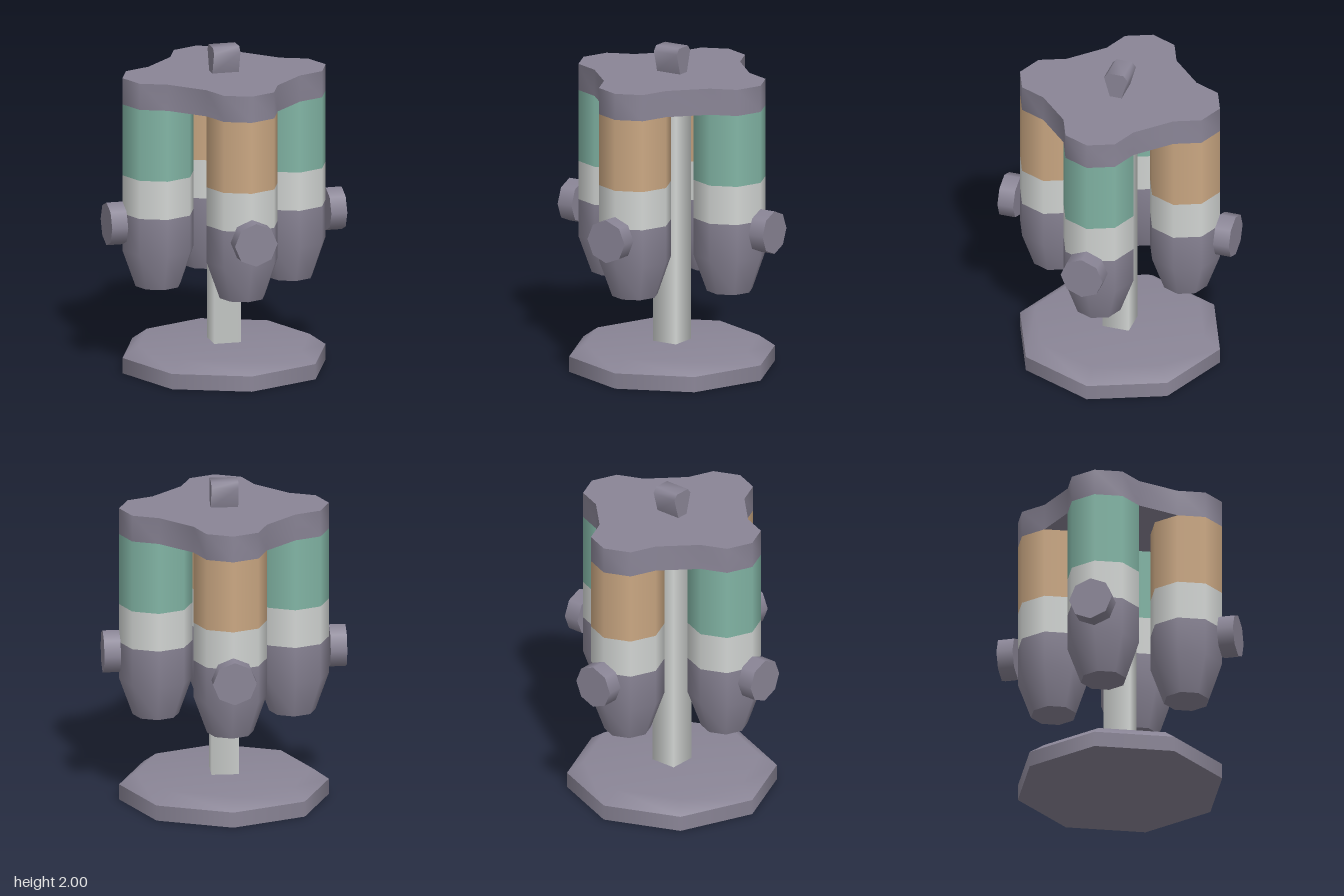
import * as THREE from 'three';
import { toCreasedNormals } from 'three/addons/utils/BufferGeometryUtils.js';

export function createModel() {
  const root = new THREE.Group();
  const mat = (name, color) => {
    const m = new THREE.MeshStandardMaterial({ color });
    m.name = name;
    return m;
  };
  const dark = mat('purple grey', 0x8a8596);
  const white = mat('pale grey', 0xd2d5d3);
  const green = mat('sage green', 0x82b5a5);
  const tan = mat('tan', 0xcba883);

  const add = (parent, name, geometry, material) => {
    const m = new THREE.Mesh(geometry, material);
    m.name = name;
    parent.add(m);
    return m;
  };
  // Eight-sided surface of revolution with corners on the x and z axes
  const turn = (...pts) =>
    new THREE.LatheGeometry(pts.map(([r, y]) => new THREE.Vector2(r, y)), 8);

  const R = 0.635; // overall radius
  const r = 0.222; // canister radius
  const c = R - r; // canister distance from the centre

  // Base with a bevelled upper edge
  const base = new THREE.Group();
  base.name = 'base';
  root.add(base);
  add(base, 'baseBottom', turn([0, 0], [R, 0]), dark);
  add(base, 'baseRim', turn([R, 0], [R, 0.095]), dark);
  add(base, 'baseTop', turn([R, 0.095], [0.535, 0.165], [0, 0.165]), dark);

  // Square central pole
  const pole = add(root, 'pole',
    new THREE.CylinderGeometry(0.117, 0.117, 1.53, 4, 1, false, Math.PI / 4), white);
  pole.position.y = 0.925;

  // Four canisters, each with a knob on its outer side
  for (let i = 0; i < 4; i++) {
    const arm = new THREE.Group();
    arm.name = 'dispenser';
    arm.rotation.y = (i * Math.PI) / 2;
    root.add(arm);

    const canister = new THREE.Group();
    canister.name = 'canister';
    canister.position.z = c;
    arm.add(canister);
    add(canister, 'canisterBottom', turn([0, 0.537], [0.14, 0.537]), dark);
    add(canister, 'canisterFunnel', turn([0.14, 0.537], [r, 0.765], [r, 0.995]), dark);
    add(canister, 'canisterBand', turn([r, 0.995], [r, 1.233]), white);
    add(canister, 'canisterBody', turn([r, 1.233], [r, 1.675]), i % 2 ? green : tan);

    const knob = new THREE.Group();
    knob.name = 'knob';
    knob.position.set(0, 0.937, R);
    knob.rotation.x = Math.PI / 2;
    arm.add(knob);
    add(knob, 'knobBack', turn([0, 0], [0.133, 0]), dark);
    add(knob, 'knobSide', turn([0.133, 0], [0.133, 0.1]), dark);
    add(knob, 'knobFace', turn([0.133, 0.1], [0, 0.1]), dark);
  }

  // Cross-shaped lid following the outer half of every canister
  const outline = [];
  for (let i = 0; i < 4; i++) {
    const a = (i * Math.PI) / 2;
    for (let k = -2; k <= 2; k++) {
      const b = a + (k * Math.PI) / 4;
      outline.push(new THREE.Vector2(
        c * Math.cos(a) + r * Math.cos(b), c * Math.sin(a) + r * Math.sin(b)));
    }
  }
  const lidGeo = new THREE.ExtrudeGeometry(new THREE.Shape(outline),
    { depth: 0.163, bevelEnabled: false });
  lidGeo.rotateX(-Math.PI / 2).translate(0, 1.675, 0);
  add(root, 'lid', toCreasedNormals(lidGeo, 0.9), dark);

  // Flared handle on the lid
  const profile = [[-0.038, 1.838], [0.038, 1.838], [0.074, 1.968], [0.05, 2], [-0.05, 2], [-0.074, 1.968]];
  const handleGeo = new THREE.ExtrudeGeometry(
    new THREE.Shape(profile.map(([x, y]) => new THREE.Vector2(x, y))),
    { depth: 0.165, bevelEnabled: false });
  handleGeo.translate(0, 0, -0.0825).rotateY(Math.PI / 2);
  add(root, 'handle', toCreasedNormals(handleGeo, 1), dark);

  return root;
}
